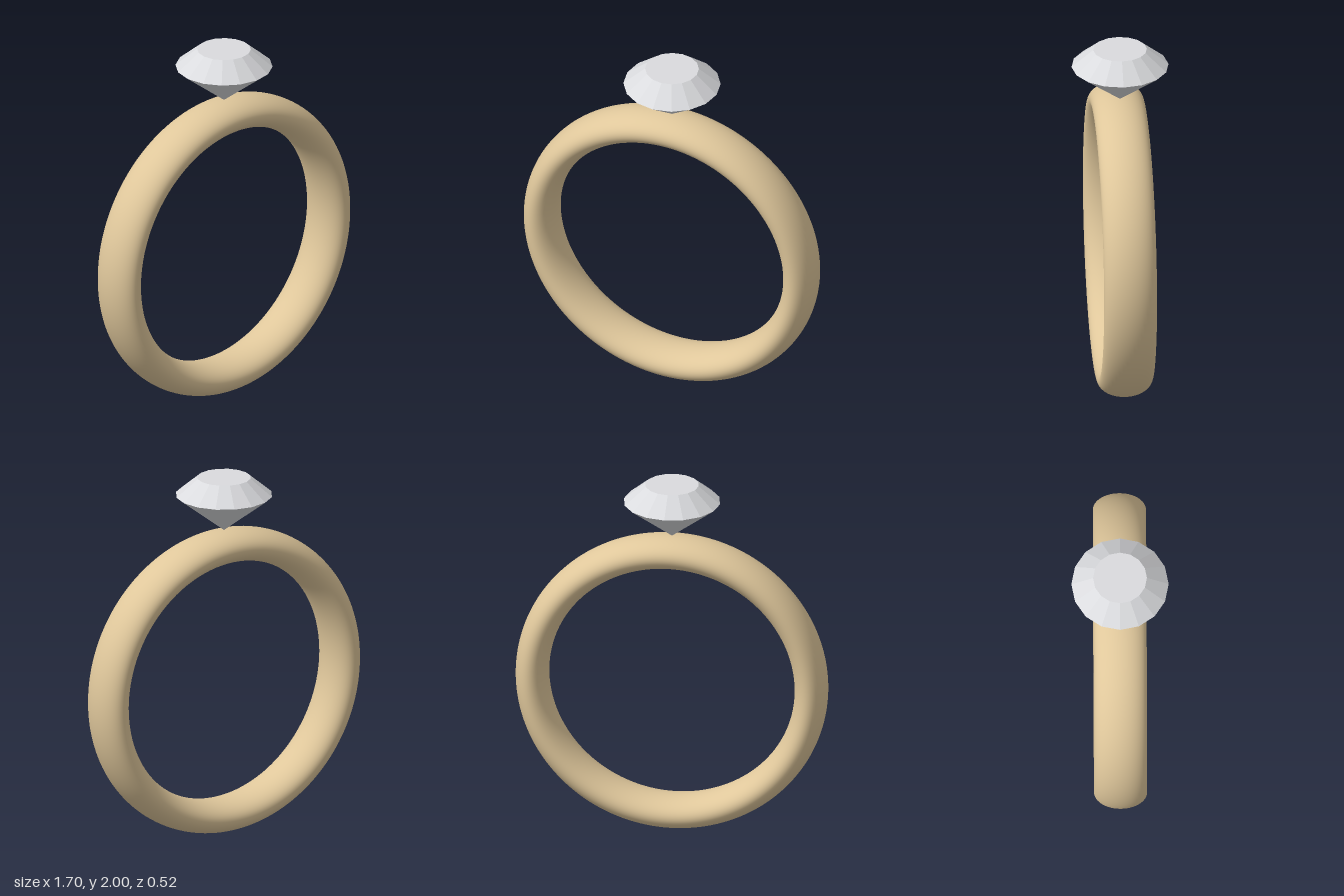
import * as THREE from 'three';

const gold = new THREE.MeshStandardMaterial({ color: 0xdfc79b });
gold.name = 'gold';
const crystal = new THREE.MeshStandardMaterial({ color: 0xdadbde, flatShading: true });
crystal.name = 'crystal';

const RING_RADIUS = 0.761, TUBE = 0.089, BAND_HALF_DEPTH = 0.143;
const TIP_Y = 1.7, GIRDLE_Y = 1.902, TABLE_Y = 2;
const GIRDLE_R = 0.262, TABLE_R = 0.145, FACETS = 16;

// One straight faceted section of the gem, between two heights
function gemSection(name, rTop, rBottom, yTop, yBottom) {
  const geometry = new THREE.CylinderGeometry(rTop, rBottom, yTop - yBottom, FACETS, 1, true);
  const mesh = new THREE.Mesh(geometry, crystal);
  mesh.position.y = (yTop + yBottom) / 2;
  mesh.name = name;
  return mesh;
}

export function createModel() {
  const model = new THREE.Group();
  model.name = 'ring';

  // Band: torus with its section widened into an ellipse along z
  const bandGeometry = new THREE.TorusGeometry(RING_RADIUS, TUBE, 48, 160);
  bandGeometry.scale(1, 1, BAND_HALF_DEPTH / TUBE);
  const band = new THREE.Mesh(bandGeometry, gold);
  band.position.y = RING_RADIUS + TUBE;
  band.name = 'band';

  // Gem: pointed pavilion, sloping crown and flat table
  const gem = new THREE.Group();
  gem.name = 'gem';
  const table = new THREE.Mesh(new THREE.CircleGeometry(TABLE_R, FACETS), crystal);
  table.rotation.x = -Math.PI / 2;
  table.position.y = TABLE_Y;
  table.name = 'table';
  gem.add(
    gemSection('pavilion', GIRDLE_R, 0, GIRDLE_Y, TIP_Y),
    gemSection('crown', TABLE_R, GIRDLE_R, TABLE_Y, GIRDLE_Y),
    table
  );

  model.add(band, gem);
  return model;
}
